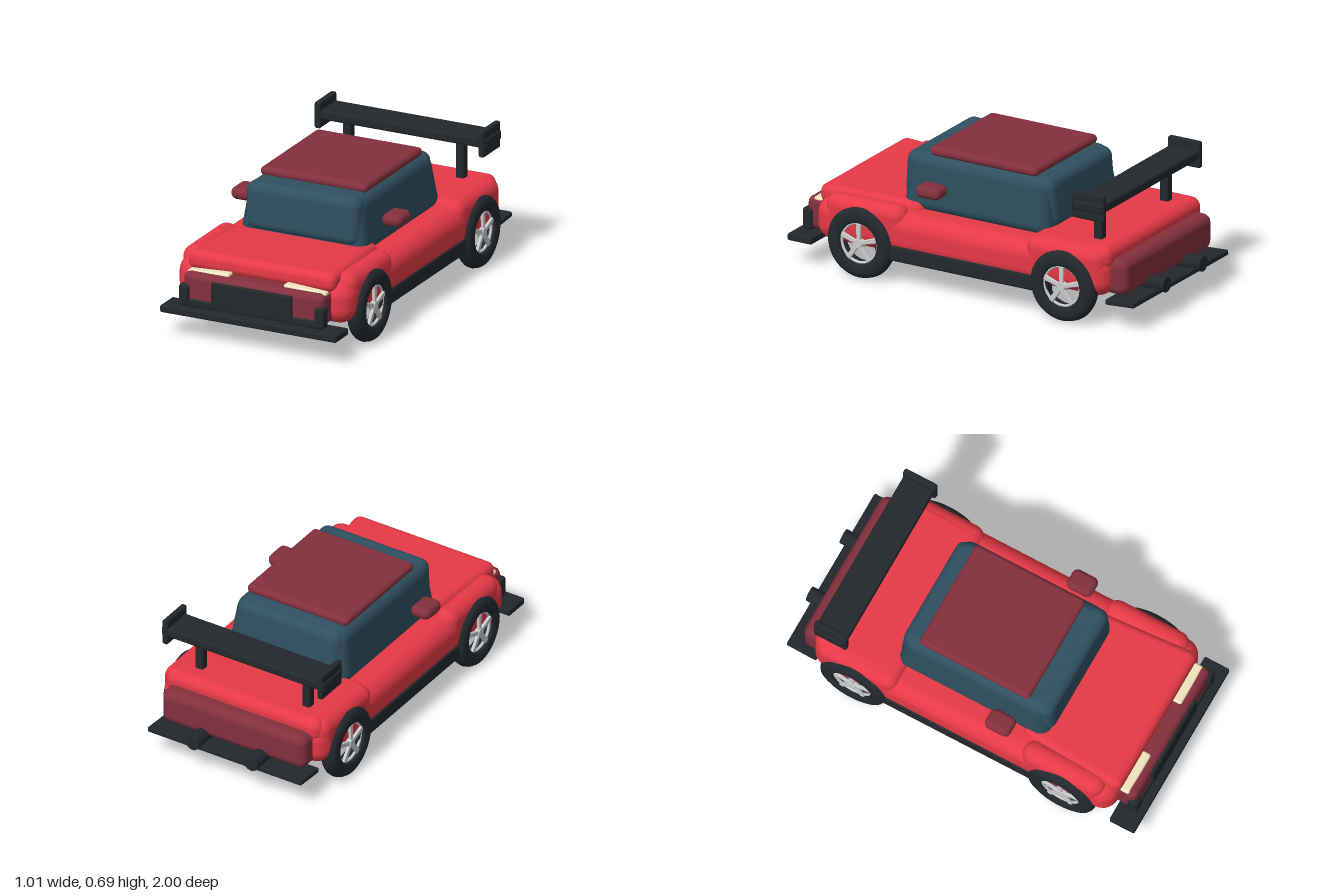
import * as THREE from 'three';
import { RoundedBoxGeometry } from 'three/addons/geometries/RoundedBoxGeometry.js';

const mat = (color) => new THREE.MeshStandardMaterial({ color });

export function createModel() {
  const car = new THREE.Group();
  car.name = 'car';
  const red = mat(0xe63946), maroon = mat(0x83303d), black = mat(0x23282d);
  const glass = mat(0x2f5060), cream = mat(0xf1e3bd), grey = mat(0xcccccc);

  // Rounded block given by its [min, max] range on each axis
  function block(name, material, [x0, x1], [y0, y1], [z0, z1], radius, parent = car) {
    const geo = new RoundedBoxGeometry(x1 - x0, y1 - y0, z1 - z0, 4, radius);
    const mesh = new THREE.Mesh(geo, material);
    mesh.position.set((x0 + x1) / 2, (y0 + y1) / 2, (z0 + z1) / 2);
    mesh.name = name;
    parent.add(mesh);
    return mesh;
  }

  // The same block on both sides
  function pair(name, material, [x0, x1], y, z, radius) {
    return [
      block('left' + name, material, [x0, x1], y, z, radius),
      block('right' + name, material, [-x1, -x0], y, z, radius),
    ];
  }

  // Move a block's vertices by a rule
  function warp(mesh, rule) {
    const p = mesh.geometry.attributes.position;
    const v = new THREE.Vector3();
    for (let i = 0; i < p.count; i++) {
      rule(v.fromBufferAttribute(p, i));
      p.setXYZ(i, v.x, v.y, v.z);
    }
  }

  // Body shell, bonnet and rear deck
  block('body', red, [-0.482, 0.482], [0.15, 0.372], [-0.83, 0.86], 0.085);
  const bonnet = block('bonnet', red, [-0.41, 0.41], [0.315, 0.415], [0.3, 0.87], 0.042);
  bonnet.rotation.x = -0.02;
  warp(bonnet, (v) => { v.x *= 0.95 + 0.17 * v.z; });
  const deck = block('rearDeck', red, [-0.455, 0.455], [0.29, 0.41], [-0.83, -0.36], 0.05);
  deck.rotation.x = 0.015;

  // Fenders over the wheels
  pair('FrontFender', red, [0.36, 0.482], [0.2, 0.405], [0.345, 0.8], 0.06);
  pair('RearFender', red, [0.36, 0.482], [0.2, 0.405], [-0.81, -0.355], 0.06);

  // Cabin glass, narrowing to the top, with windscreen and rear window panels
  const taper = (mesh, kx, kz) => warp(mesh, (v) => {
    const t = Math.max(0, v.y + 0.06);
    v.x *= 1 - kx * t;
    v.z *= 1 - kz * t;
  });
  taper(block('cabin', glass, [-0.347, 0.347], [0.355, 0.652], [-0.418, 0.425], 0.06), 0.5, 0.35);
  const windscreen = block('windscreen', glass, [-0.315, 0.315], [0.4, 0.65], [0.3, 0.435], 0.05);
  windscreen.rotation.x = -0.06;
  const rearWindow = block('rearWindow', glass, [-0.305, 0.305], [0.38, 0.645], [-0.42, -0.3], 0.05);
  rearWindow.rotation.x = 0.09;
  block('roof', maroon, [-0.295, 0.295], [0.642, 0.69], [-0.32, 0.3], 0.023);

  pair('Mirror', maroon, [0.363, 0.472], [0.48, 0.545], [0.14, 0.28], 0.031);

  // Nose with grille, corner trims, headlights and splitter
  block('nose', maroon, [-0.39, 0.39], [0.165, 0.335], [0.8, 0.95], 0.035);
  block('grille', black, [-0.223, 0.223], [0.17, 0.31], [0.9, 0.965], 0.008);
  pair('CornerTrim', black, [0.348, 0.402], [0.165, 0.275], [0.91, 0.967], 0.014);
  pair('LowerTrim', black, [0.215, 0.395], [0.163, 0.202], [0.91, 0.96], 0.01);
  const lights = pair('Headlight', cream, [0.15, 0.382], [0.322, 0.349], [0.86, 0.912], 0.012);
  // outer ends of the headlights droop
  lights.forEach((m, i) => warp(m, (v) => {
    if (v.x * (i ? -1 : 1) > 0.06) v.y -= 0.012;
  }));
  block('splitter', black, [-0.488, 0.488], [0.123, 0.16], [0.86, 1], 0.009);

  // Rear bumper, diffuser and exhausts
  block('rearBumper', maroon, [-0.42, 0.42], [0.165, 0.35], [-0.908, -0.77], 0.045);
  const diffuser = block('diffuser', black, [-0.45, 0.45], [0.127, 0.155], [-0.977, -0.81], 0.008);
  diffuser.rotation.x = 0.06;
  for (const s of [1, -1]) {
    const pipe = new THREE.Mesh(new THREE.CylinderGeometry(0.039, 0.039, 0.17, 20), black);
    pipe.rotation.x = Math.PI / 2;
    pipe.position.set(s * 0.172, 0.176, -0.915);
    pipe.name = s > 0 ? 'leftExhaust' : 'rightExhaust';
    car.add(pipe);
  }

  // Side sills
  pair('Sill', black, [0.43, 0.486], [0.128, 0.21], [-0.5, 0.5], 0.012);

  // Rear wing on two posts
  block('wingBlade', black, [-0.478, 0.478], [0.6, 0.65], [-0.81, -0.64], 0.012);
  pair('WingEndPlate', black, [0.438, 0.47], [0.555, 0.693], [-0.815, -0.63], 0.01);
  pair('WingPost', black, [0.29, 0.335], [0.36, 0.61], [-0.722, -0.675], 0.008);

  // Wheels: the axle runs along x, +x is the outer face
  const profile = [[0.108, -0.034], [0.15, -0.045], [0.17, -0.036], [0.182, -0.02], [0.187, 0],
    [0.182, 0.022], [0.172, 0.037], [0.15, 0.046], [0.116, 0.042], [0.106, 0.034], [0.108, -0.034]]
    .map(([r, a]) => new THREE.Vector2(r, a));
  const tyreGeo = new THREE.LatheGeometry(profile, 48).rotateZ(-Math.PI / 2);
  const rimGeo = new THREE.TorusGeometry(0.103, 0.008, 8, 40).rotateY(Math.PI / 2);
  const hubGeo = new THREE.CylinderGeometry(0.022, 0.03, 0.03, 20).rotateZ(-Math.PI / 2);

  function makeWheel(name) {
    const wheel = new THREE.Group();
    wheel.name = name;
    const add = (part, geo, material, x) => {
      const m = new THREE.Mesh(geo, material);
      m.position.x = x;
      m.name = part;
      wheel.add(m);
    };
    add('tyre', tyreGeo, black, 0);
    add('rim', rimGeo, grey, 0.02);
    add('hub', hubGeo, grey, 0.025);
    // five spokes, wider at the rim
    for (let i = 0; i < 5; i++) {
      const spoke = block('spoke', grey, [-0.008, 0.008], [0, 0.09], [-0.012, 0.012], 0.004, wheel);
      warp(spoke, (v) => { v.z *= 0.9 + 6 * Math.max(0, v.y); v.y += 0.06; });
      spoke.position.set(0.028, 0, 0);
      spoke.rotation.x = i * Math.PI * 2 / 5;
    }
    return wheel;
  }

  for (const s of [1, -1]) {
    for (const f of [1, -1]) {
      const wheel = makeWheel((s > 0 ? 'left' : 'right') + (f > 0 ? 'Front' : 'Rear') + 'Wheel');
      wheel.position.set(s * 0.461, 0.188, f * 0.585);
      if (s < 0) wheel.rotation.y = Math.PI;
      car.add(wheel);
    }
  }

  return car;
}
